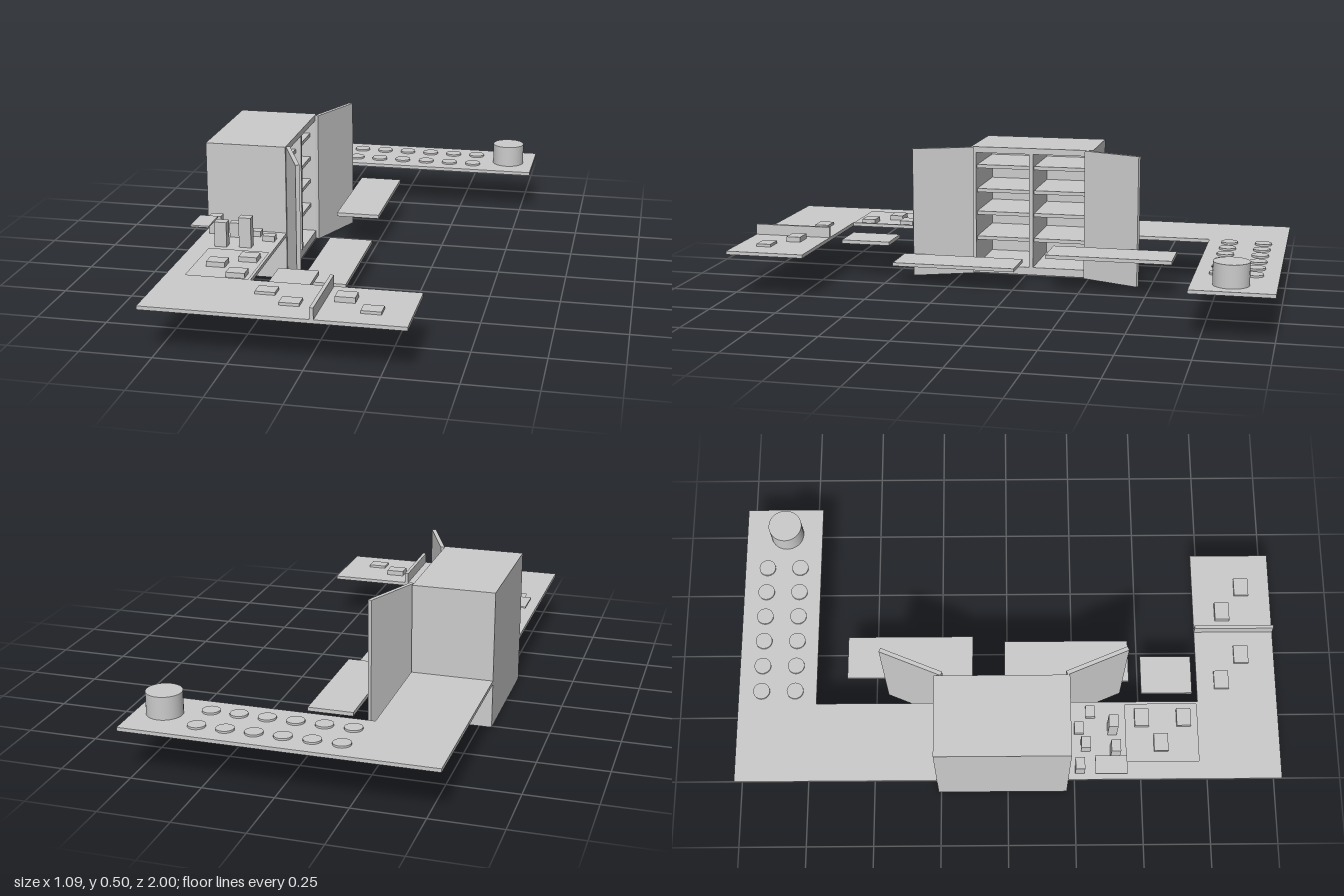
import * as THREE from 'three';

export function createModel() {
  const model = new THREE.Group();
  const grey = new THREE.MeshStandardMaterial({ color: 0xcccccc, flatShading: true });
  const smooth = new THREE.MeshStandardMaterial({ color: 0xcccccc });

  // box given by its extents
  const box = (name, x0, x1, y0, y1, z0, z1, parent = model) => {
    const m = new THREE.Mesh(new THREE.BoxGeometry(x1 - x0, y1 - y0, z1 - z0), grey);
    m.position.set((x0 + x1) / 2, (y0 + y1) / 2, (z0 + z1) / 2);
    m.name = name;
    parent.add(m);
    return m;
  };
  const drum = (name, x, z, r, y0, y1, sides) => {
    const m = new THREE.Mesh(new THREE.CylinderGeometry(r, r, y1 - y0, sides), smooth);
    m.position.set(x, (y0 + y1) / 2, z);
    m.name = name;
    model.add(m);
  };
  // flat slab from a plan outline of [x, z] points, with optional hole
  const slab = (name, outline, y0, y1, hole) => {
    const pts = (list) => list.map(([x, z]) => new THREE.Vector2(x, -z));
    const shape = new THREE.Shape(pts(outline));
    if (hole) shape.holes.push(new THREE.Path(pts(hole)));
    const g = new THREE.ExtrudeGeometry(shape, { depth: y1 - y0, bevelEnabled: false });
    g.rotateX(-Math.PI / 2);
    const m = new THREE.Mesh(g, grey);
    m.position.y = y0;
    m.name = name;
    model.add(m);
  };

  const L = -0.545, F = -0.25, Y0 = 0.163, Y1 = 0.176;

  // L-shaped counters on either side of the cabinet
  slab('backCounter', [[L, -1], [0.54, -1], [0.54, -0.71], [F, -0.71], [F, -0.26], [L, -0.26]], Y0, Y1);
  const front = [[L, 0.22], [F, 0.22], [F, 0.705], [0.335, 0.705], [0.335, 1], [L, 1]];
  slab('frontCounterBase', front, Y0, Y0 + 0.005);
  slab('frontCounterTop', front, Y0 + 0.005, Y1,
    [[-0.478, 0.435], [-0.26, 0.435], [-0.26, 0.7], [-0.478, 0.7]]);

  // cabinet carcass
  const cabinet = new THREE.Group();
  cabinet.name = 'cabinet';
  model.add(cabinet);
  box('cabinetBack', L, L + 0.02, 0, 0.5, -0.26, 0.22, cabinet);
  box('cabinetTop', L + 0.02, F, 0.477, 0.5, -0.26, 0.22, cabinet);
  box('cabinetBottom', L + 0.02, F, 0, 0.03, -0.26, 0.22, cabinet);
  box('cabinetSide', L + 0.02, F, 0.03, 0.477, 0.2, 0.22, cabinet);
  box('cabinetSide', L + 0.02, F, 0.03, 0.477, -0.26, -0.24, cabinet);
  box('cabinetDivider', L + 0.02, F, 0.03, 0.477, -0.027, -0.011, cabinet);
  for (const y of [0.42, 0.325, 0.235, 0.135])
    for (const [z0, z1] of [[-0.24, -0.027], [-0.011, 0.2]])
      box('shelf', L + 0.02, F - 0.02, y - 0.007, y + 0.007, z0, z1, cabinet);

  // open doors, hinged on the cabinet's front corners
  for (const s of [1, -1]) {
    const hinge = new THREE.Group();
    hinge.name = 'door';
    hinge.position.set(-0.243, 0, -0.012 + s * 0.221);
    hinge.rotation.y = s * 0.39;
    box('doorPanel', -0.0075, 0.0075, 0, 0.5, Math.min(0, s * 0.237), Math.max(0, s * 0.237), hinge);
    model.add(hinge);
  }

  // bench seats and stool
  box('backBench', -0.14, 0.022, 0.133, 0.147, -0.6, -0.13);
  box('frontBench', -0.14, 0.022, 0.075, 0.088, -0.01, 0.46);
  box('stoolSeat', -0.207, -0.063, 0.133, 0.147, 0.5, 0.69);

  // back counter: two rows of plates and a large pot
  for (let i = 0; i < 6; i++) {
    drum('plate', -0.2 + 0.099 * i, -0.915, 0.031, Y1, 0.183, 20);
    drum('plate', -0.2 + 0.099 * i, -0.79, 0.031, Y1, 0.183, 20);
  }
  drum('pot', 0.437, -0.845, 0.0625, Y1, 0.257, 32);

  // upright blocks beside the cabinet: x, z, top
  for (const [x, z, top] of [[-0.501, 0.262, 0.243], [-0.418, 0.285, 0.23], [-0.353, 0.262, 0.196],
    [-0.291, 0.305, 0.196], [-0.442, 0.392, 0.267], [-0.355, 0.384, 0.286]])
    box('uprightBlock', x - 0.022, x + 0.022, Y1, top, z - 0.017, z + 0.017);
  box('raisedPanel', L, -0.478, 0.251, 0.257, 0.315, 0.43);

  // low blocks in the tray
  for (const [x, z] of [[-0.312, 0.495], [-0.407, 0.563], [-0.312, 0.65]])
    box('trayBlock', x - 0.033, x + 0.033, Y0 + 0.005, 0.186, z - 0.026, z + 0.026);

  // low blocks on the front counter, split by a partition
  for (const [x, z, top] of [[-0.168, 0.797, 0.186], [-0.068, 0.876, 0.186], [0.102, 0.813, 0.195], [0.203, 0.892, 0.186]])
    box('counterBlock', x - 0.034, x + 0.034, Y1, top, z - 0.027, z + 0.027);
  box('partition', 0.023, 0.036, Y1, 0.216, 0.705, 1);

  return model;
}
